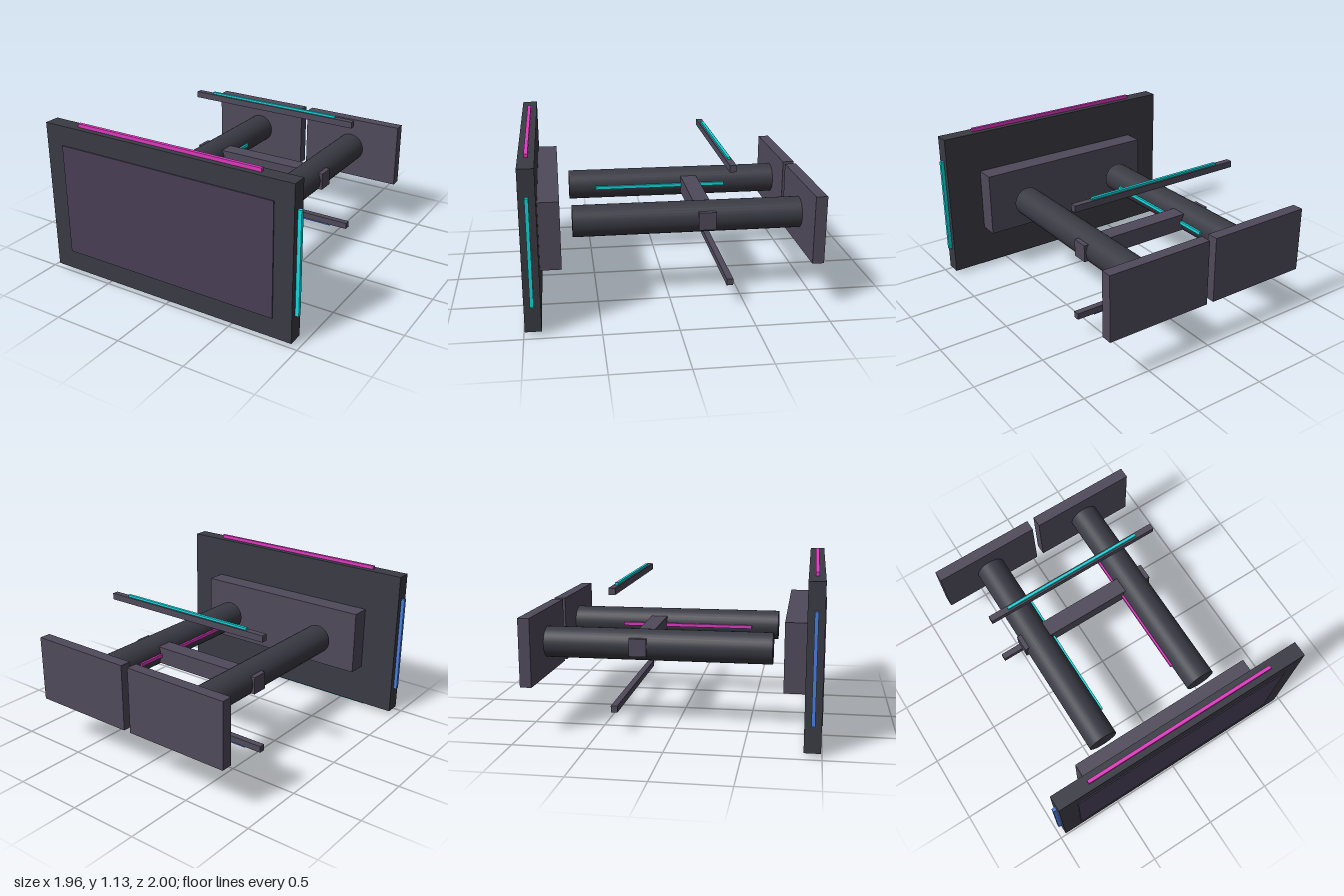
import * as THREE from 'three';

const MID = 0.571; // height of the model's long axis

const paint = (color) => new THREE.MeshStandardMaterial({ color });

export function createModel() {
  const model = new THREE.Group();
  const dark = paint(0x3a3a44);
  const grey = paint(0x4f4a5a);
  const glass = paint(0x483e56);
  const cyan = paint(0x10dce0);
  const magenta = paint(0xe038c0);
  const blue = paint(0x4a7ee0);

  // Box given by its extents along each axis
  function box(name, material, [x0, x1], [y0, y1], [z0, z1]) {
    const mesh = new THREE.Mesh(new THREE.BoxGeometry(x1 - x0, y1 - y0, z1 - z0), material);
    mesh.position.set((x0 + x1) / 2, (y0 + y1) / 2, (z0 + z1) / 2);
    mesh.name = name;
    model.add(mesh);
  }

  // Front panel with its slightly raised screen and rear housing
  box('panelFrame', dark, [-0.955, 0.955], [0.03, 1.112], [0.885, 0.993]);
  box('screen', glass, [-0.82, 0.82], [0.17, 0.972], [0.98, 1]);
  box('rearHousing', grey, [-0.69, 0.69], [0.336, 0.806], [0.743, 0.885]);

  // Light strips around the panel edge
  const stripZ = [0.928, 0.952];
  box('topLight', magenta, [-0.707, 0.707], [1.105, 1.137], stripZ);
  box('bottomLight', cyan, [-0.707, 0.707], [0.003, 0.035], stripZ);
  box('leftLight', cyan, [0.95, 0.98], [0.21, 0.932], stripZ);
  box('rightLight', blue, [-0.98, -0.95], [0.21, 0.932], stripZ);

  for (const side of [-1, 1]) {
    const label = side > 0 ? 'left' : 'right';
    const span = (a, b) => (side > 0 ? [a, b] : [-b, -a]);

    // Long round arm
    const arm = new THREE.Mesh(new THREE.CylinderGeometry(0.109, 0.109, 1.58, 32), dark);
    arm.rotation.x = Math.PI / 2;
    arm.position.set(side * 0.415, MID, -0.13);
    arm.name = label + 'Arm';
    model.add(arm);

    // Light strip on the inner side of the arm
    box(label + 'ArmLight', side > 0 ? magenta : cyan,
      span(0.292, 0.312), [MID - 0.012, MID + 0.012], [-0.53, 0.46]);

    // Plate at the back end of the arm
    box(label + 'BackPlate', grey, span(0.027, 0.803), [0.336, 0.806], [-1, -0.92]);
  }

  // Bar running through both arms
  box('crossBar', grey, [-0.538, 0.538], [MID - 0.062, MID + 0.062], [-0.315, -0.195]);

  // Rods above and below the arms, each with a light on its outer face
  const rodZ = [-0.415, -0.37];
  const lightZ = [-0.403, -0.383];
  box('upperRod', grey, [-0.665, 0.665], [0.953, 0.999], rodZ);
  box('upperRodLight', cyan, [-0.525, 0.525], [0.99, 1.014], lightZ);
  box('lowerRod', grey, [-0.665, 0.665], [0.148, 0.194], rodZ);
  box('lowerRodLight', blue, [-0.525, 0.525], [0.133, 0.157], lightZ);

  return model;
}
